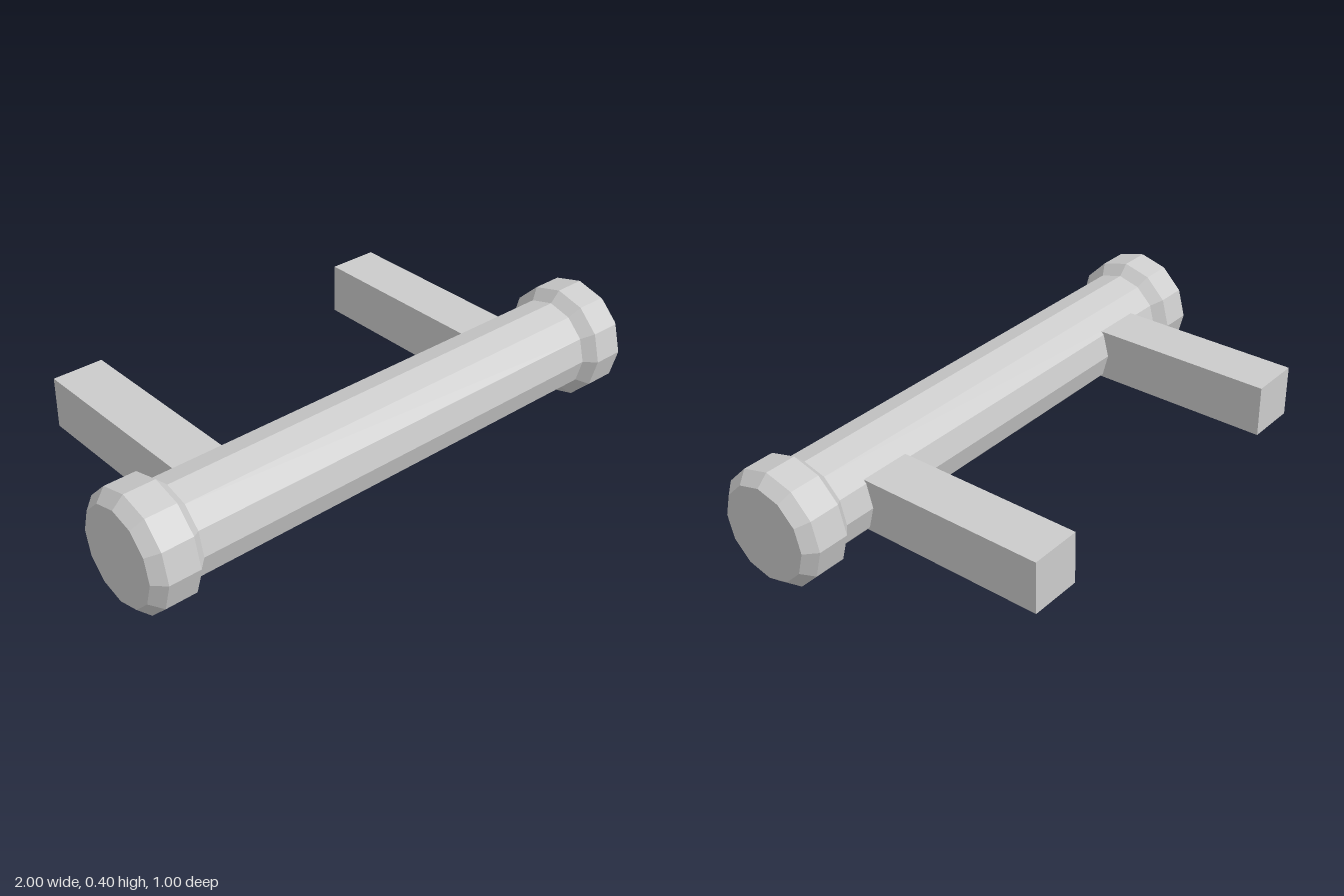
import * as THREE from 'three';

const SIDES = 12, AXIS_Y = 0.2, AXIS_Z = 0.3;
const BAR_R = 0.163, CAP_R = 0.2;

export function createModel() {
  const group = new THREE.Group();
  const material = new THREE.MeshStandardMaterial({ color: 0xcccccc, flatShading: true });

  const add = (name, geometry, x, y, z) => {
    const mesh = new THREE.Mesh(geometry, material);
    mesh.name = name;
    mesh.position.set(x, y, z);
    group.add(mesh);
    return mesh;
  };

  // Twelve-sided grip bar lying along x
  const bar = new THREE.CylinderGeometry(BAR_R, BAR_R, 1.64, SIDES, 1, true).rotateZ(Math.PI / 2);
  add('gripBar', bar, 0, AXIS_Y, AXIS_Z);

  // End collar, chamfered on both rims, profile runs outward along the axis
  const profile = [
    [0, 0.814], [BAR_R, 0.814], [CAP_R, 0.851], [CAP_R, 0.961], [BAR_R, 1], [0, 1],
  ].map(([r, h]) => new THREE.Vector2(r, h));

  for (const side of [1, -1]) {
    const prefix = side > 0 ? 'left' : 'right';
    const collar = new THREE.LatheGeometry(profile, SIDES).rotateZ(-side * Math.PI / 2);
    add(prefix + 'EndCollar', collar, 0, AXIS_Y, AXIS_Z);

    // Square mounting post, running from the back into the bar
    add(prefix + 'MountPost', new THREE.BoxGeometry(0.184, 0.184, 0.72), side * 0.61, AXIS_Y, -0.14);
  }
  return group;
}
